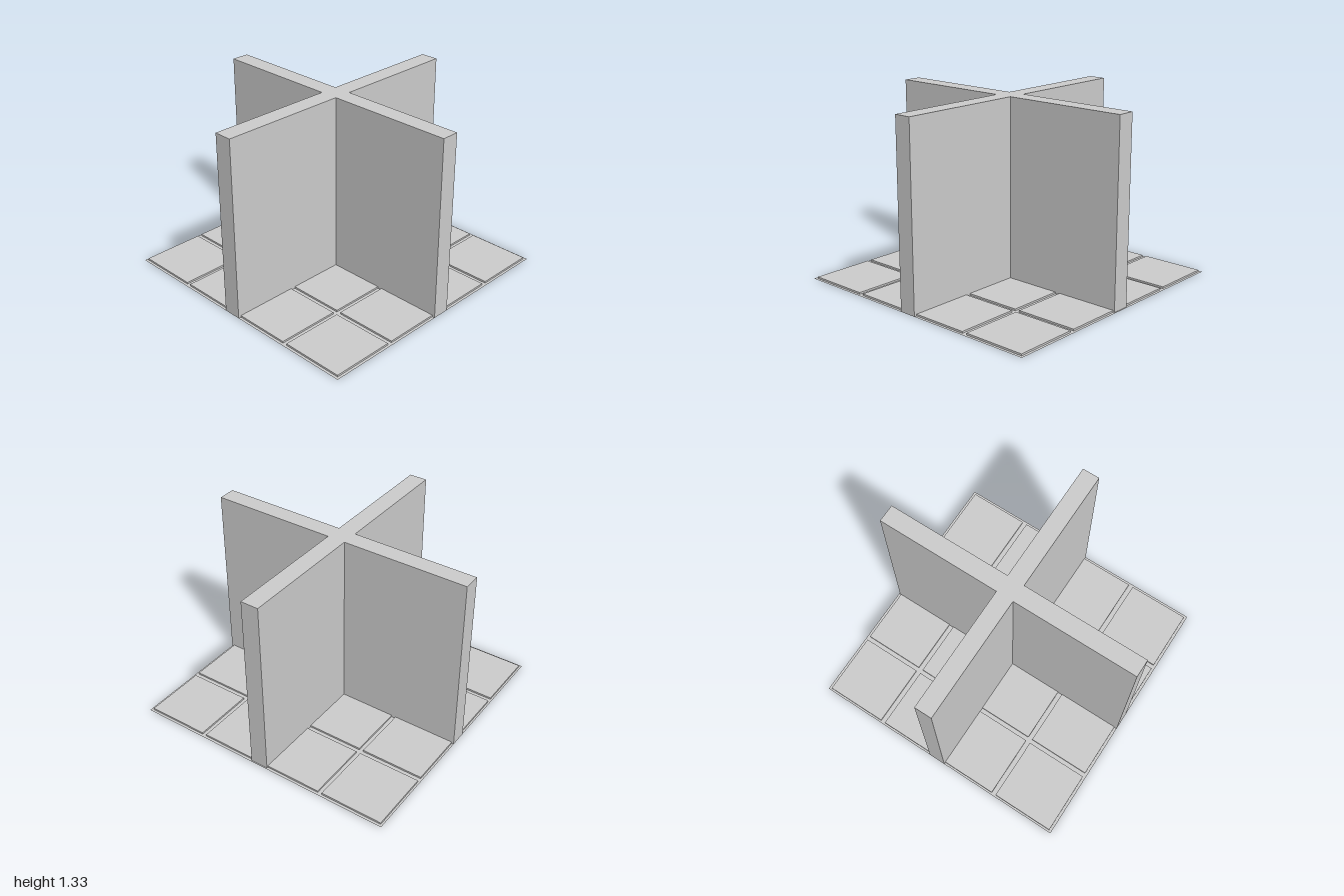
import * as THREE from 'three';

const HEIGHT = 1.333;
const TILE = 0.013;
// start and end of each tile row along x and z
const X_SPANS = [[-0.98, -0.515], [-0.48, -0.067], [0.062, 0.483], [0.519, 0.98]];
const Z_SPANS = [[-0.985, -0.52], [-0.488, -0.07], [0.063, 0.481], [0.514, 0.98]];

// draws a closed outline; shape y becomes model z
const outline = (points, Type = THREE.Shape) =>
  new Type(points.map(([x, z]) => new THREE.Vector2(x, z)));
const rect = ([x0, x1], [z0, z1]) => [[x0, z0], [x1, z0], [x1, z1], [x0, z1]];

export function createModel() {
  const group = new THREE.Group();
  const solid = new THREE.MeshStandardMaterial({ color: 0xcccccc, flatShading: true });
  const thin = new THREE.MeshStandardMaterial({ color: 0xcccccc, flatShading: true, side: THREE.DoubleSide });

  const add = (name, geometry, material) => {
    const mesh = new THREE.Mesh(geometry, material);
    mesh.name = name;
    group.add(mesh);
    return mesh;
  };

  // two walls crossing in the middle, as one plus-shaped prism
  const [x0, x1, z0, z1] = [-0.067, 0.062, -0.07, 0.063];
  const plus = outline([
    [x0, -1], [x1, -1], [x1, z0], [0.99, z0], [0.99, z1], [x1, z1],
    [x1, 1], [x0, 1], [x0, z1], [-1, z1], [-1, z0], [x0, z0],
  ]);
  const walls = new THREE.ExtrudeGeometry(plus, { depth: HEIGHT, bevelEnabled: false });
  walls.rotateX(Math.PI / 2).translate(0, HEIGHT, 0);
  add('crossWalls', walls, solid);

  // thin floor sheet with an opening under every raised tile
  const floor = outline(rect([-1, 1], [-1, 1]));
  for (const xs of X_SPANS) {
    for (const zs of Z_SPANS) {
      floor.holes.push(outline(rect(xs, zs), THREE.Path));

      // raised tile: top and four sides, hollow underneath
      const box = new THREE.BoxGeometry(xs[1] - xs[0], TILE, zs[1] - zs[0]);
      const index = Array.from(box.index.array);
      index.splice(18, 6);
      box.setIndex(index);
      box.clearGroups();
      add('floorTile', box, thin)
        .position.set((xs[0] + xs[1]) / 2, TILE / 2, (zs[0] + zs[1]) / 2);
    }
  }
  add('floorGrid', new THREE.ShapeGeometry(floor).rotateX(Math.PI / 2), thin);

  return group;
}
